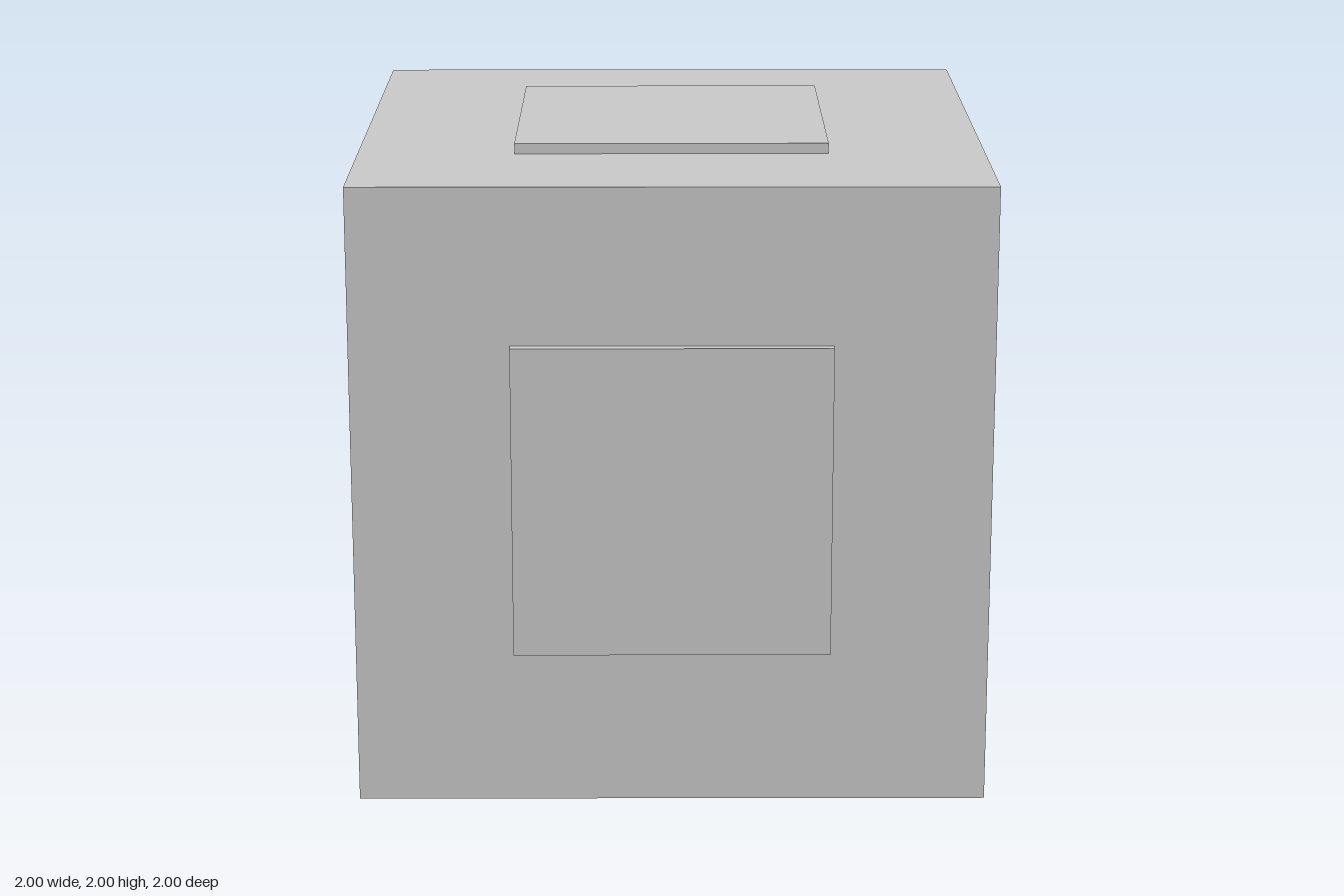
import * as THREE from 'three';

const CUBE = 1.935;   // edge of the main cube
const PANEL = 0.968;  // edge of each raised square panel
const REACH = 1;      // distance from centre to a panel's outer face

export function createModel() {
  const model = new THREE.Group();
  model.name = 'panelledCube';
  const material = new THREE.MeshStandardMaterial({ color: 0xcccccc, flatShading: true });

  // Main cube
  const cube = new THREE.Mesh(new THREE.BoxGeometry(CUBE, CUBE, CUBE), material);
  cube.name = 'cube';
  cube.position.y = REACH;
  model.add(cube);

  // One raised square panel centred on each face
  const depth = REACH - CUBE / 2;
  const sides = {
    left: [1, 0, 0], right: [-1, 0, 0],
    top: [0, 1, 0], bottom: [0, -1, 0],
    front: [0, 0, 1], back: [0, 0, -1],
  };
  for (const [side, normal] of Object.entries(sides)) {
    const size = normal.map((n) => (n ? depth : PANEL));
    const panel = new THREE.Mesh(new THREE.BoxGeometry(...size), material);
    panel.name = `${side}Panel`;
    panel.position.set(...normal).multiplyScalar(REACH - depth / 2);
    panel.position.y += REACH;
    model.add(panel);
  }

  return model;
}
